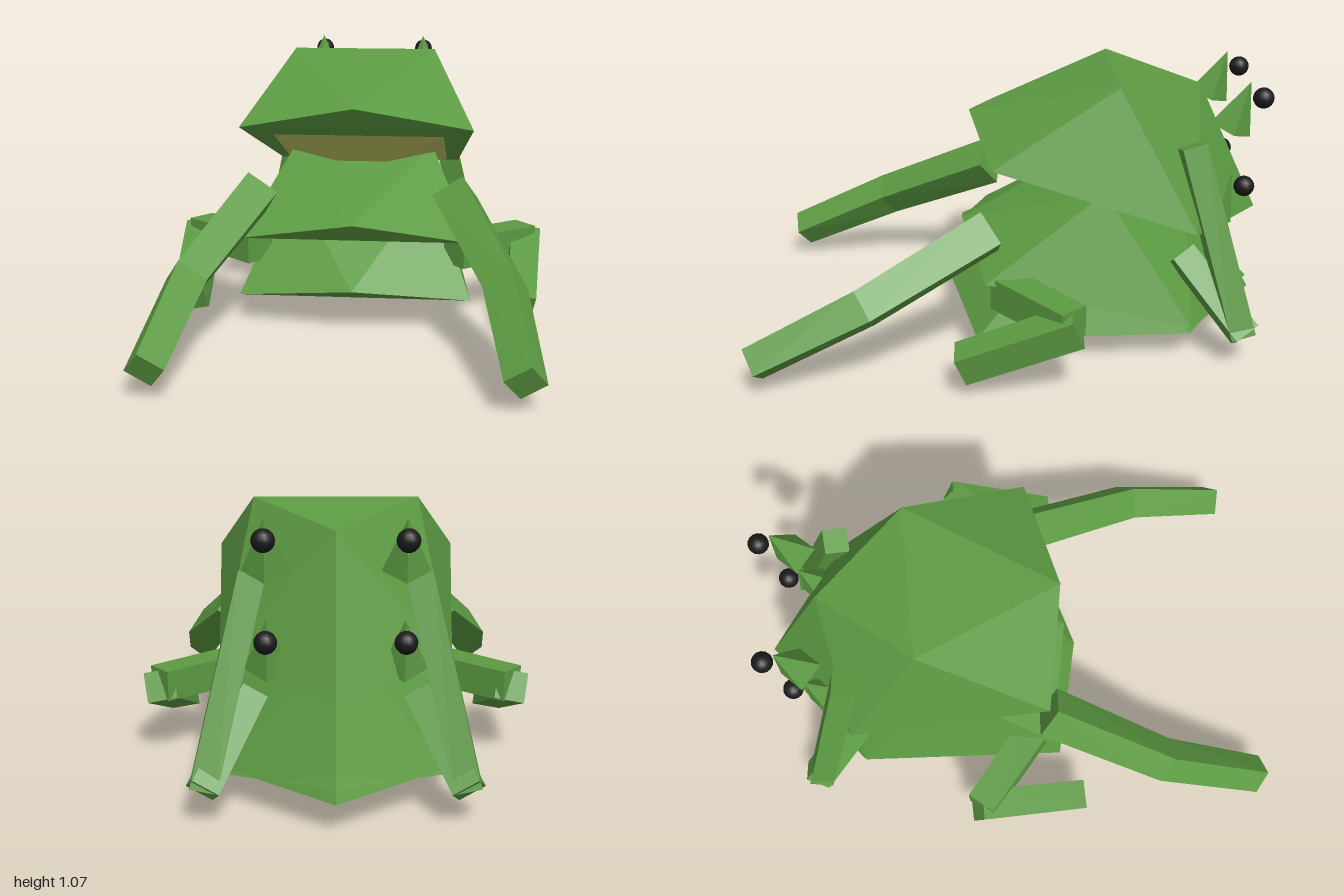
import * as THREE from 'three';
import { ConvexGeometry } from 'three/addons/geometries/ConvexGeometry.js';

const V = (x, y, z) => new THREE.Vector3(x, y, z);

function paint(name, color) {
  const m = new THREE.MeshStandardMaterial({ color });
  m.name = name;
  return m;
}

// Mirrors every off-centre point and wraps a faceted hull around all of them
function mirroredHull(points) {
  const all = [];
  for (const [x, y, z] of points) {
    all.push(V(x, y, z));
    if (x) all.push(V(-x, y, z));
  }
  return new ConvexGeometry(all);
}

// Four corners of a square limb section, turned by roll around direction d
function section(center, d, r, roll) {
  const side = d.clone().cross(V(0, 1, 0)).normalize();
  const up = side.clone().cross(d);
  return [0, 1, 2, 3].map((k) => {
    const a = roll + Math.PI / 4 + k * Math.PI / 2;
    return center.clone().addScaledVector(side, r * Math.cos(a)).addScaledVector(up, r * Math.sin(a));
  });
}

// Faceted square limb through a few joints, one hull for each stretch
function limb(name, joints, radii, roll, material) {
  const group = new THREE.Group();
  group.name = name;
  const p = joints.map((j) => V(...j));
  const rings = p.map((c, i) => {
    const d = p[Math.min(i + 1, p.length - 1)].clone().sub(p[Math.max(i - 1, 0)]).normalize();
    return section(c, d, radii[i], roll);
  });
  for (let i = 0; i + 1 < rings.length; i++) {
    const mesh = new THREE.Mesh(new ConvexGeometry([...rings[i], ...rings[i + 1]]), material);
    mesh.name = name + 'Segment';
    group.add(mesh);
  }
  return group;
}

export function createModel() {
  const model = new THREE.Group();
  model.name = 'frog';
  const green = paint('skinGreen', 0x5c9a42);
  const olive = paint('bellyOlive', 0xbfc262);
  const black = paint('eyeBlack', 0x1a1a1c);

  // Wedge-shaped shell, measured from the middle of its front corners
  const shellGeo = mirroredHull([
    [0, 0.095, 0.09], [0.47, 0, 0], [0.3, 0.265, -0.48],
    [0, 0.2, -0.83], [0.41, -0.285, -0.78], [0, -0.325, -1.08],
  ]);
  // Shallow pyramid under each shell
  const bellyGeo = mirroredHull([
    [0.35, -0.05, -0.12], [0.36, -0.257, -0.67], [0, -0.315, -0.94], [0, -0.265, -0.4],
  ]);

  // Three stacked shells, each pitched further forward
  const shells = [
    ['upperShell', 0.805, 0.08, 0],
    ['middleShell', 0.35, 0.105, 4.7],
    ['lowerShell', 0.12, 0.14, 19],
  ];
  for (const [name, y, z, pitch] of shells) {
    const group = new THREE.Group();
    group.name = name;
    const body = new THREE.Mesh(shellGeo, green);
    body.name = 'shell';
    const belly = new THREE.Mesh(bellyGeo, olive);
    belly.name = 'belly';
    group.add(body, belly);
    group.position.set(0, y, z);
    group.rotation.x = THREE.MathUtils.degToRad(pitch);
    model.add(group);
  }

  // Eye stalks: four-sided spikes with a ball behind, two on each side
  const spikeGeo = new THREE.ConeGeometry(0.083, 0.2, 4).toNonIndexed();
  spikeGeo.computeVertexNormals();
  const ballGeo = new THREE.SphereGeometry(0.04, 14, 10);

  for (const s of [1, -1]) {
    const side = s > 0 ? 'left' : 'right';
    const flip = (pts) => pts.map(([x, y, z]) => [x * s, y, z]);

    // Front leg reaching forward
    model.add(limb(side + 'FrontLeg',
      flip([[0.4, 0.54, 0.09], [0.59, 0.315, 0.555], [0.65, 0.12, 0.97]]), [0.1, 0.09, 0.078], -s * 0.65, green));

    // Middle leg: thigh out to the knee, shin forward again
    model.add(limb(side + 'MiddleThigh',
      flip([[0.4, 0.3, 0.04], [0.7, 0.295, -0.215]]), [0.09, 0.085], 0, green));
    model.add(limb(side + 'MiddleShin',
      flip([[0.695, 0.29, -0.23], [0.66, 0.12, 0.2]]), [0.085, 0.083], s * 0.2, green));

    // Rear leg: thigh down to a low knee, shin folded up the back
    model.add(limb(side + 'RearThigh',
      flip([[0.3, 0.4, -0.66], [0.46, 0.125, -0.895]]), [0.07, 0.075], Math.PI / 4, green));
    model.add(limb(side + 'RearShin',
      flip([[0.46, 0.12, -0.88], [0.295, 0.84, -0.68]]), [0.068, 0.068], Math.PI / 4, green));

    for (const [label, y, z] of [['Upper', 0.98, -0.865], ['Lower', 0.625, -0.815]]) {
      const spike = new THREE.Mesh(spikeGeo, green);
      spike.name = side + label + 'EyeStalk';
      spike.position.set(s * 0.235, y, z);
      spike.rotation.x = -0.35;
      const ball = new THREE.Mesh(ballGeo, black);
      ball.name = side + label + 'Eye';
      ball.position.set(s * 0.235, y + 0.03, z - 0.085);
      model.add(spike, ball);
    }
  }
  return model;
}
